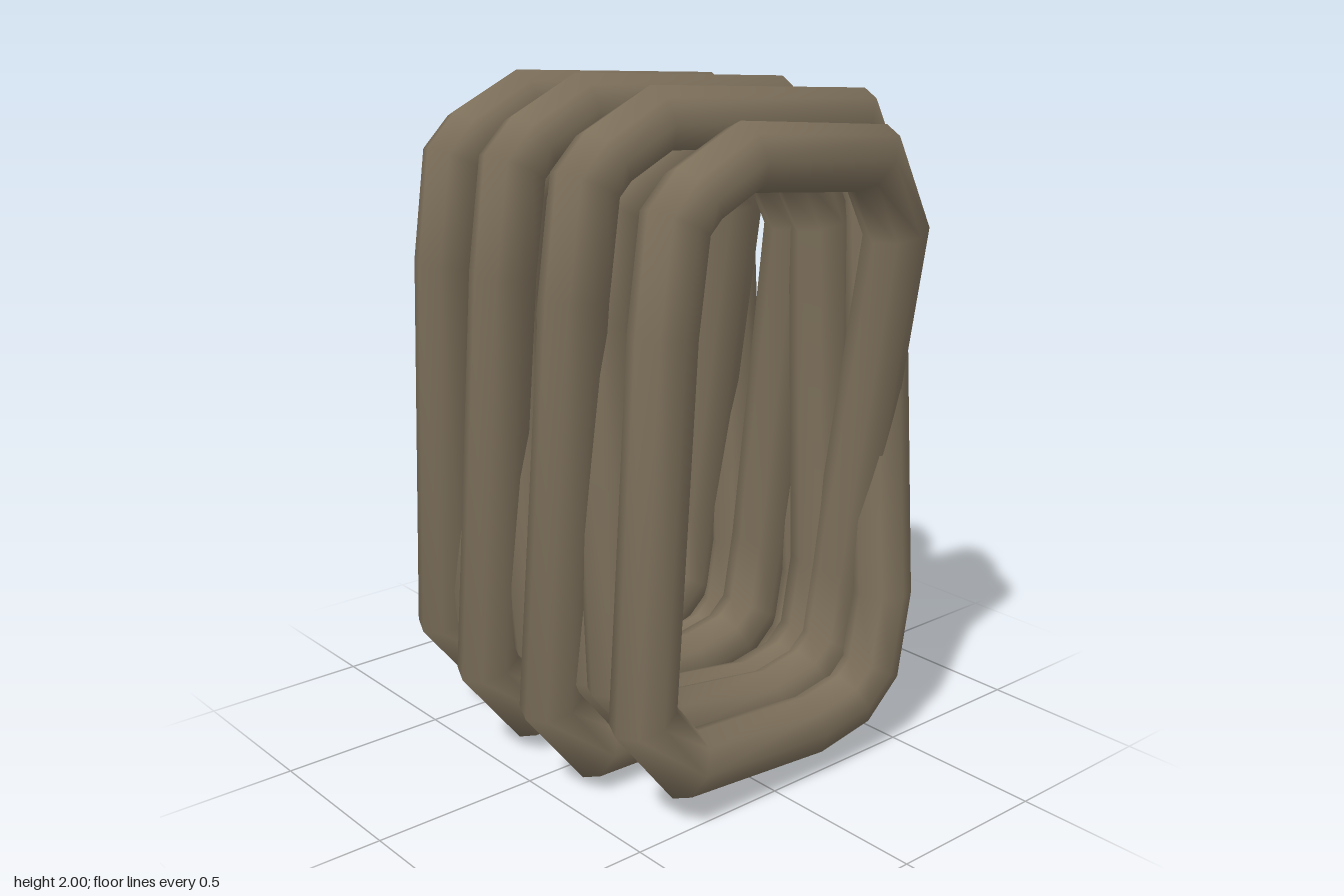
import * as THREE from 'three';

const R = 0.09;
const SIDES = 8;

// Sweep a round rope along a polyline with mitred corners
function sweep(points, closed) {
  const n = points.length, pos = [], idx = [];
  const zAxis = new THREE.Vector3(0, 0, 1);
  for (let i = 0; i < n; i++) {
    const p = points[i];
    const prev = points[closed ? (i + n - 1) % n : Math.max(i - 1, 0)];
    const next = points[closed ? (i + 1) % n : Math.min(i + 1, n - 1)];
    const a = p.clone().sub(prev).normalize(), b = next.clone().sub(p).normalize();
    if (a.lengthSq() === 0) a.copy(b);
    if (b.lengthSq() === 0) b.copy(a);
    const t = a.clone().add(b).normalize();
    const stretch = 1 / Math.max(0.75, t.dot(b));
    const side = t.clone().cross(zAxis).normalize();
    const up = t.clone().cross(side).normalize();
    for (let j = 0; j < SIDES; j++) {
      const u = (j / SIDES) * Math.PI * 2;
      const v = p.clone().addScaledVector(side, Math.cos(u) * R * stretch).addScaledVector(up, Math.sin(u) * R);
      pos.push(v.x, v.y, v.z);
    }
  }
  for (let i = 0; i < (closed ? n : n - 1); i++) {
    for (let j = 0; j < SIDES; j++) {
      const k = (j + 1) % SIDES, m = (i + 1) % n;
      const a = i * SIDES + j, b = i * SIDES + k, c = m * SIDES + k, d = m * SIDES + j;
      idx.push(a, b, d, b, c, d);
    }
  }
  // End caps with their own vertices
  if (!closed) {
    for (const [ring, flip] of [[0, true], [n - 1, false]]) {
      const start = pos.length / 3;
      for (let j = 0; j < SIDES * 3; j++) pos.push(pos[ring * SIDES * 3 + j]);
      for (let j = 1; j < SIDES - 1; j++) {
        idx.push(start, start + (flip ? j + 1 : j), start + (flip ? j : j + 1));
      }
    }
  }
  const g = new THREE.BufferGeometry();
  g.setAttribute('position', new THREE.Float32BufferAttribute(pos, 3));
  g.setIndex(idx);
  g.computeVertexNormals();
  return g;
}

const toVectors = (list) => list.map((p) => new THREE.Vector3(...p));

// One turn: up the left, over the top, down the right, back along the bottom
function turn([wL, wR, wB, yT, yB, zTL, zTR, zBR, zBL]) {
  return toVectors([
    [-wL, yT - 0.42, zTL],
    [-wL + 0.04, yT - 0.14, zTL],
    [-wL + 0.1, yT - 0.08, zTL],
    [-wL + 0.27, yT, zTL],
    [wR - 0.12, yT - 0.04, zTR],
    [wR - 0.01, yT - 0.25, zTR],
    [wB, yB + 0.34, zBR],
    [wB - 0.04, yB + 0.11, zBR],
    [wB - 0.13, yB + 0.03, zBR],
    [wB - 0.3, yB, zBR],
    [-wB + 0.15, yB + 0.03, zBL],
    [-wB, yB + 0.22, zBL],
  ]);
}

export function createModel() {
  const group = new THREE.Group();
  group.name = 'ropeCoil';
  const rope = new THREE.MeshStandardMaterial({ color: 0x7d705b });
  rope.name = 'ropeBrown';
  const add = (name, points, closed) => {
    const m = new THREE.Mesh(sweep(points, closed), rope);
    m.name = name;
    group.add(m);
  };

  // Half widths (top left, top right, bottom), heights (top, bottom),
  // then depth at the four corners (top left, top right, bottom right, bottom left).
  // The rope winds backwards on the inside, then forwards again on the outside.
  const innerTurns = [
    [0.395, 0.44, 0.41, 1.82, 0.20, 0.47, 0.49, 0.34, 0.30],
    [0.405, 0.41, 0.41, 1.82, 0.20, 0.24, 0.23, 0.26, 0.21],
    [0.41, 0.41, 0.41, 1.81, 0.20, 0.11, 0.13, 0.0, -0.04],
    [0.42, 0.41, 0.41, 1.83, 0.20, -0.16, -0.14, -0.32, -0.35],
    [0.44, 0.46, 0.47, 1.86, 0.15, -0.43, -0.44, -0.49, -0.45],
  ];
  const outerTurns = [
    [0.51, 0.51, 0.51, 1.90, 0.10, -0.32, -0.29, -0.22, -0.18],
    [0.51, 0.515, 0.51, 1.91, 0.095, -0.05, 0.01, 0.11, 0.13],
    [0.51, 0.51, 0.455, 1.90, 0.15, 0.26, 0.34, 0.465, 0.46],
  ];
  add('windings', [...innerTurns, ...outerTurns].flatMap(turn), true);

  // Loose tail tucked under the rear turns
  add('ropeTail', toVectors([
    [-0.395, 1.04, -0.43], [-0.345, 1.52, -0.39], [-0.2, 1.73, -0.34], [0.22, 1.71, -0.26],
  ]), false);

  return group;
}
